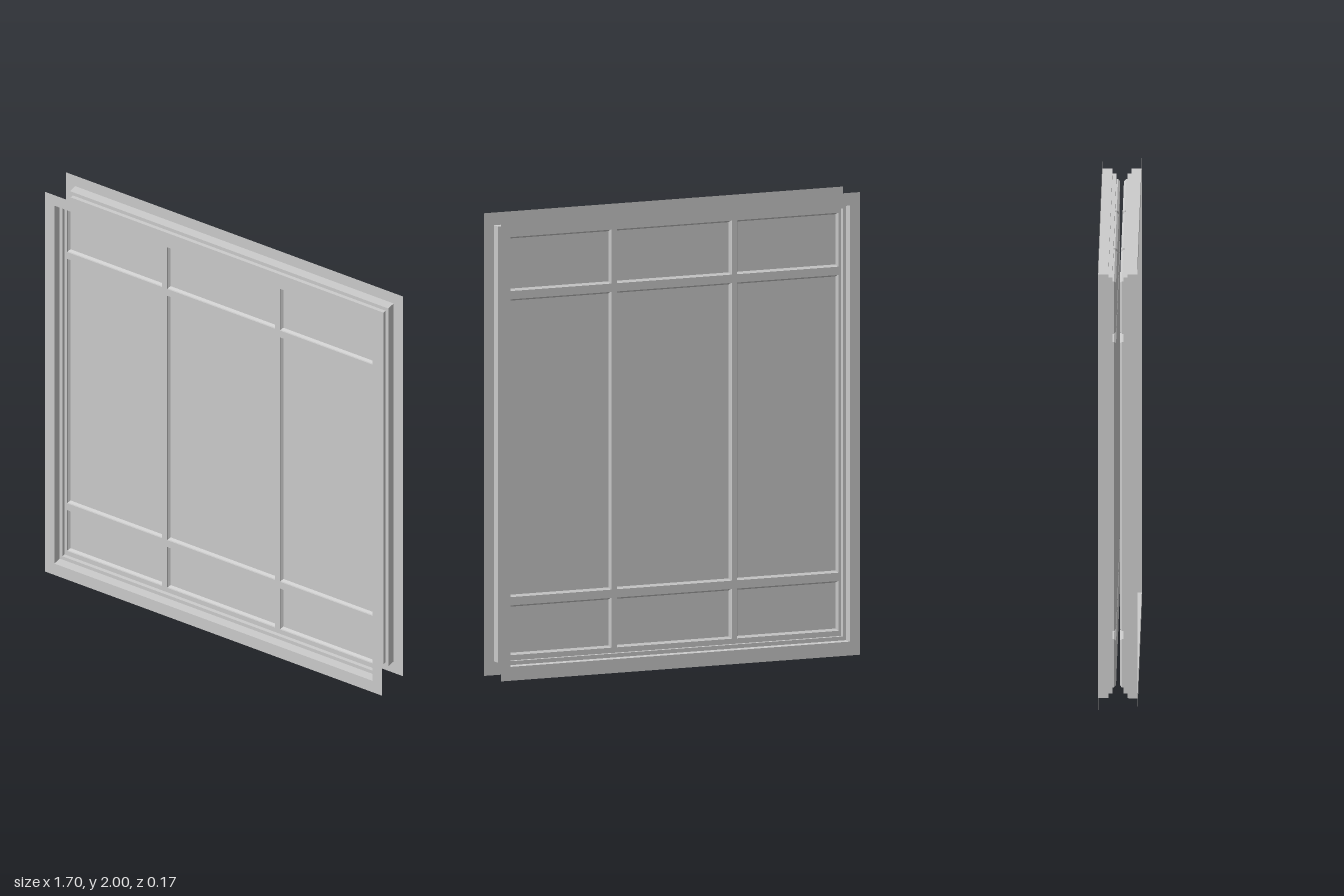
import * as THREE from 'three';

const material = new THREE.MeshStandardMaterial({ color: 0xcccccc, side: THREE.DoubleSide });

// A rectangle is [x0, x1, y0, y1]; its corners run counter-clockwise.
const corners = ([x0, x1, y0, y1]) => [[x0, y0], [x1, y0], [x1, y1], [x0, y1]];
const inset = ([x0, x1, y0, y1], d) => [x0 + d, x1 - d, y0 + d, y1 - d];

// Four-sided band through a list of [rectangle, z] sections, with hard edges.
function band(name, sections) {
  const pos = [];
  for (let s = 0; s + 1 < sections.length; s++) {
    const [a, b] = [sections[s], sections[s + 1]].map(([r, z]) => corners(r).map(([x, y]) => [x, y, z]));
    for (let i = 0; i < 4; i++) {
      const j = (i + 1) % 4;
      pos.push(...a[i], ...a[j], ...b[j], ...a[i], ...b[j], ...b[i]);
    }
  }
  const geo = new THREE.BufferGeometry();
  geo.setAttribute('position', new THREE.Float32BufferAttribute(pos, 3));
  geo.computeVertexNormals();
  return named(name, geo);
}

function named(name, geo) {
  const mesh = new THREE.Mesh(geo, material);
  mesh.name = name;
  return mesh;
}

const path = (r, Type) => new Type(corners(r).map(([x, y]) => new THREE.Vector2(x, y)));

const outer = [-0.85, 0.85, 0, 2];
const opening = [-0.803, 0.803, 0.06, 1.945];
const sash = [-0.789, 0.789, 0.077, 1.928];
const columns = [[-0.777, -0.297], [-0.272, 0.272], [0.297, 0.777]];
const rows = [[0.1, 0.315], [0.351, 1.638], [1.674, 1.907]];
const Z = { trim: 0.084, step: 0.041, grid: 0.024, bevel: 0.017, glass: 0.008 };

function windowFace(name) {
  const face = new THREE.Group();
  face.name = name;

  // Flat trim, then the stepped reveal down to the sash
  face.add(band('trim', [[outer, Z.trim], [opening, Z.trim]]));
  face.add(band('reveal', [[opening, Z.trim], [opening, Z.step], [sash, Z.step], [sash, Z.grid]]));

  // Glazing grid with nine openings, each with a bevelled edge and a pane
  const grid = path(sash, THREE.Shape);
  for (const [x0, x1] of columns) for (const [y0, y1] of rows) {
    const hole = [x0, x1, y0, y1];
    const glass = inset(hole, 0.008);
    grid.holes.push(path(hole, THREE.Path));
    face.add(band('glazingBead', [[hole, Z.grid], [hole, Z.bevel], [glass, Z.glass]]));
    const pane = named('pane', new THREE.PlaneGeometry(glass[1] - glass[0], glass[3] - glass[2]));
    pane.position.set((x0 + x1) / 2, (y0 + y1) / 2, Z.glass);
    face.add(pane);
  }
  const bars = named('glazingBars', new THREE.ShapeGeometry(grid));
  bars.position.z = Z.grid;
  face.add(bars);
  return face;
}

export function createModel() {
  const model = new THREE.Group();
  model.name = 'window';
  const back = windowFace('backFace');
  back.rotation.y = Math.PI;
  model.add(windowFace('frontFace'), back);
  return model;
}
